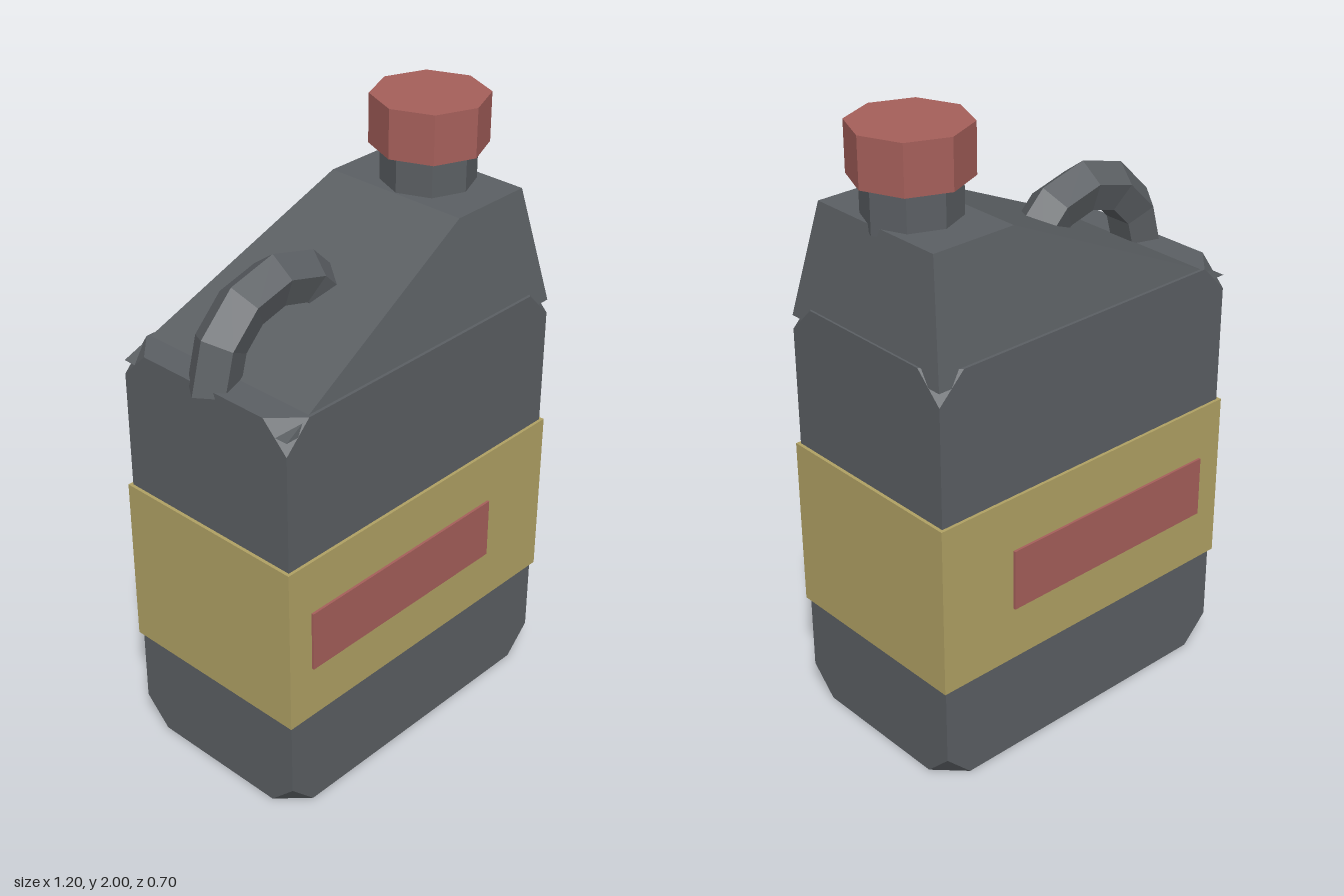
import * as THREE from 'three';
import { ConvexGeometry } from 'three/addons/geometries/ConvexGeometry.js';

const paint = (color) => new THREE.MeshStandardMaterial({ color, flatShading: true, side: THREE.DoubleSide });

export function createModel() {
  const model = new THREE.Group();
  const dark = paint(0x5b5f63), yellow = paint(0xb0a164), red = paint(0xa55f5a);

  const add = (name, geometry, material, x = 0, y = 0, z = 0) => {
    const mesh = new THREE.Mesh(geometry, material);
    mesh.name = name;
    mesh.position.set(x, y, z);
    model.add(mesh);
    return mesh;
  };

  // Can body: a box with its eight corners cut off
  const cx = 0.013, w = 0.574, h = 0.7, d = 0.333, cut = 0.09;
  const corners = [];
  for (const sx of [-1, 1]) for (const sy of [-1, 1]) for (const sz of [-1, 1]) {
    corners.push(
      new THREE.Vector3(sx * (w - cut), sy * h, sz * d),
      new THREE.Vector3(sx * w, sy * (h - cut), sz * d),
      new THREE.Vector3(sx * w, sy * h, sz * (d - cut)));
  }
  add('body', new ConvexGeometry(corners), dark, cx, h, 0);

  // Sloping shoulder that narrows up to the neck
  const shoulder = [];
  for (const s of [-1, 1]) {
    for (const [x, y, z] of [[-0.56, 1.355, 0.333], [0.587, 1.355, 0.333], [0.53, 1.725, 0.253], [0.24, 1.725, 0.253]]) {
      shoulder.push(new THREE.Vector3(x, y, s * z));
    }
  }
  add('shoulder', new ConvexGeometry(shoulder), dark);

  // Octagonal neck and screw cap
  add('neck', new THREE.CylinderGeometry(0.148, 0.148, 0.16, 8), dark, 0.393, 1.78, 0);
  add('cap', new THREE.CylinderGeometry(0.183, 0.183, 0.157, 8), red, 0.393, 1.9215, 0);

  // Arched handle with a five-sided section
  add('handle', new THREE.TorusGeometry(0.247, 0.081, 5, 6, Math.PI), dark, -0.272, 1.381, 0);

  // Wrap-around band and the coloured panel on its front and back
  add('band', new THREE.BoxGeometry(1.17, 0.57, 0.686), yellow, cx, 0.635, 0);
  add('panel', new THREE.BoxGeometry(0.805, 0.206, 0.702), red, -0.078, 0.635, 0);

  return model;
}
